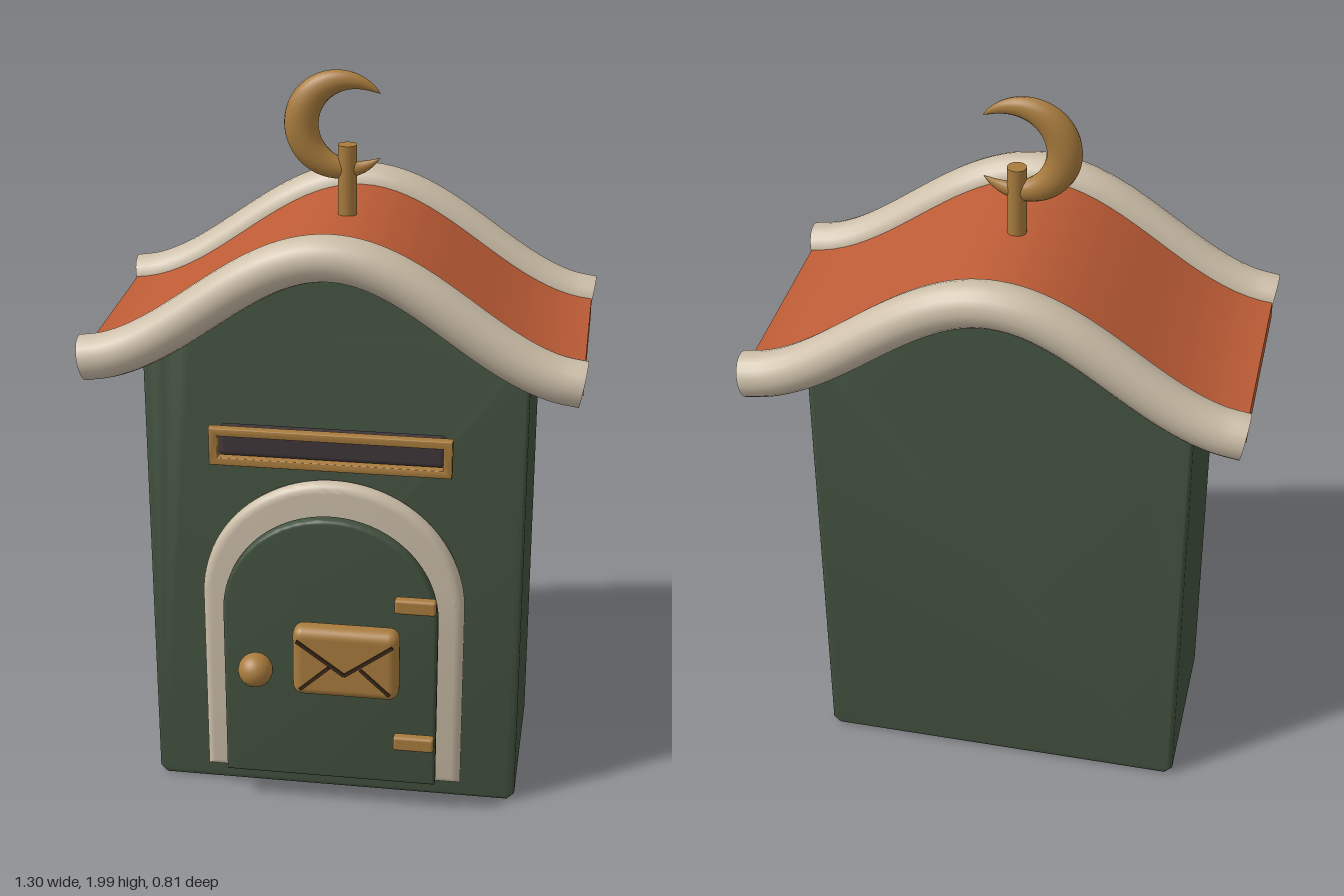
import * as THREE from 'three';
import { toCreasedNormals } from 'three/addons/utils/BufferGeometryUtils.js';
import { RoundedBoxGeometry } from 'three/addons/geometries/RoundedBoxGeometry.js';

const material = (name, color) => {
  const m = new THREE.MeshStandardMaterial({ color });
  m.name = name;
  return m;
};

// Roof line: a bell-shaped curve that falls from the ridge to flat eaves
const HALF = 0.64;
const roofY = (x) => 1.3 + 0.15 * (1 + Math.cos((Math.PI * x) / (HALF + 0.02)));
const roofLine = (x0, x1, offset, n = 40) =>
  Array.from({ length: n + 1 }, (_, i) => {
    const x = x0 + ((x1 - x0) * i) / n;
    return new THREE.Vector2(x, roofY(x) + offset);
  });

// Extrudes a shape between two z values, with rounded edges that stay inside the outline
function slab(shape, z0, z1, bevel = 0) {
  const g = new THREE.ExtrudeGeometry(shape, {
    depth: z1 - z0 - 2 * bevel, curveSegments: 28,
    bevelEnabled: bevel > 0, bevelSize: bevel, bevelThickness: bevel,
    bevelOffset: -bevel, bevelSegments: 4,
  });
  g.translate(0, 0, z0 + bevel);
  return toCreasedNormals(g, 0.6);
}

// Round-topped door outline
function arch(halfWidth, bottom, top) {
  const s = new THREE.Shape();
  s.moveTo(-halfWidth, bottom);
  s.lineTo(halfWidth, bottom);
  s.lineTo(halfWidth, top - halfWidth);
  s.absarc(0, top - halfWidth, halfWidth, 0, Math.PI, false);
  s.closePath();
  return s;
}

// Crescent: a ring section swept round an arc and tapered to two points
function crescent() {
  const rows = 48, sides = 16, pos = [], index = [];
  for (let i = 0; i <= rows; i++) {
    const t = i / rows, swell = Math.pow(Math.sin(Math.PI * t), 0.75);
    const a = THREE.MathUtils.degToRad(40 + 280 * t);
    const R = 0.131 - 0.026 * swell;
    for (let j = 0; j <= sides; j++) {
      const b = (2 * Math.PI * j) / sides;
      const r = R + 0.045 * swell * Math.cos(b);
      pos.push(r * Math.cos(a), r * Math.sin(a), 0.035 * swell * Math.sin(b));
      if (i < rows && j < sides) {
        const k = i * (sides + 1) + j, n = k + sides + 1;
        index.push(k, k + 1, n, n, k + 1, n + 1);
      }
    }
  }
  const g = new THREE.BufferGeometry();
  g.setAttribute('position', new THREE.Float32BufferAttribute(pos, 3));
  // Wind the faces outward
  for (let i = 0; i < index.length; i += 3) [index[i + 1], index[i + 2]] = [index[i + 2], index[i + 1]];
  g.setIndex(index);
  g.computeVertexNormals();
  return g;
}

export function createModel() {
  const green = material('green paint', 0x435240);
  const terracotta = material('terracotta', 0xbd5c36);
  const cream = material('cream trim', 0xcbbda7);
  const brass = material('brass', 0xa97c3e);
  const dark = material('dark slot', 0x40363a);
  const line = material('dark brown line', 0x3d2b1a);

  const model = new THREE.Group();
  model.name = 'mailbox';
  const add = (name, geometry, mat, x = 0, y = 0, z = 0, parent = model) => {
    const mesh = new THREE.Mesh(geometry, mat);
    mesh.name = name;
    mesh.position.set(x, y, z);
    parent.add(mesh);
    return mesh;
  };

  // Body with its top following the roof
  const bodyShape = new THREE.Shape([
    new THREE.Vector2(-0.505, 0.02), new THREE.Vector2(-0.485, 0),
    new THREE.Vector2(0.485, 0), new THREE.Vector2(0.505, 0.02),
    ...roofLine(0.505, -0.505, -0.025),
  ]);
  add('body', slab(bodyShape, -0.27, 0.22, 0.015), green);

  // Roof sheet
  const roofShape = new THREE.Shape([
    ...roofLine(-HALF, HALF, -0.045), ...roofLine(HALF, -HALF, 0.015),
  ]);
  add('roof', slab(roofShape, -0.31, 0.26), terracotta);

  // Rolled trims at the front and back of the roof, with end caps
  const trimPath = new THREE.CatmullRomCurve3(
    roofLine(-HALF, HALF, 0, 20).map((p) => new THREE.Vector3(p.x, p.y, 0)));
  for (const [name, z] of [['frontRoofTrim', 0.295], ['backRoofTrim', -0.347]]) {
    const trim = new THREE.Group();
    trim.name = name;
    trim.position.z = z;
    add('trimRoll', new THREE.TubeGeometry(trimPath, 64, 0.06, 18), cream, 0, 0, 0, trim);
    for (const t of [0, 1]) {
      const end = trimPath.getPointAt(t), out = trimPath.getTangentAt(t).multiplyScalar(t ? 1 : -1);
      const cap = add('trimCap', new THREE.CircleGeometry(0.06, 18), cream, end.x, end.y, 0, trim);
      cap.quaternion.setFromUnitVectors(new THREE.Vector3(0, 0, 1), out);
    }
    model.add(trim);
  }

  // Letter slot and its frame
  add('slot', new RoundedBoxGeometry(0.6, 0.085, 0.045, 3, 0.018), dark, 0, 1.072, 0.248);
  const frame = new THREE.Shape();
  const rect = (path, w, h) => {
    path.moveTo(-w, -h);
    path.lineTo(w, -h);
    path.lineTo(w, h);
    path.lineTo(-w, h);
    path.closePath();
    return path;
  };
  rect(frame, 0.318, 0.052);
  frame.holes.push(rect(new THREE.Path(), 0.294, 0.03));
  add('slotFrame', slab(frame, 0.275, 0.302, 0.004), brass, 0, 1.072, 0);

  // Door surround and door
  add('doorSurround', slab(arch(0.355, 0.067, 0.965), 0.215, 0.265, 0.024), cream);
  add('door', slab(arch(0.29, 0.09, 0.882), 0.274, 0.31, 0.01), green);
  for (const y of [0.25, 0.67]) {
    add('hinge', new RoundedBoxGeometry(0.11, 0.042, 0.03, 2, 0.008), brass, 0.235, y, 0.35);
  }
  add('doorKnob', new THREE.SphereGeometry(0.047, 24, 16), brass, -0.195, 0.445, 0.354);

  // Envelope plaque with its fold lines
  const envelope = new THREE.Group();
  envelope.name = 'envelope';
  envelope.position.set(0.053, 0.498, 0.362);
  model.add(envelope);
  add('envelopePlate', new RoundedBoxGeometry(0.285, 0.205, 0.066, 4, 0.028), brass, 0, 0, 0, envelope);
  for (const s of [-1, 1]) {
    for (const [name, x0, y0, x1, y1, z] of [
      ['flapLine', 0.128, 0.072, 0, -0.022, 0.042], ['foldLine', 0.12, -0.078, 0.042, -0.005, 0.035],
    ]) {
      const length = Math.hypot(x1 - x0, y1 - y0);
      const bar = add(name, new THREE.BoxGeometry(length, 0.008, 0.007), line,
        (s * (x0 + x1)) / 2, (y0 + y1) / 2, z, envelope);
      bar.rotation.z = s * Math.atan2(y0 - y1, x0 - x1);
    }
  }

  // Finial: post and crescent
  add('finialPost', new THREE.CylinderGeometry(0.025, 0.025, 0.22, 20), brass, 0, 1.69, -0.026);
  add('crescent', crescent(), brass, -0.015, 1.851, -0.026);

  return model;
}
